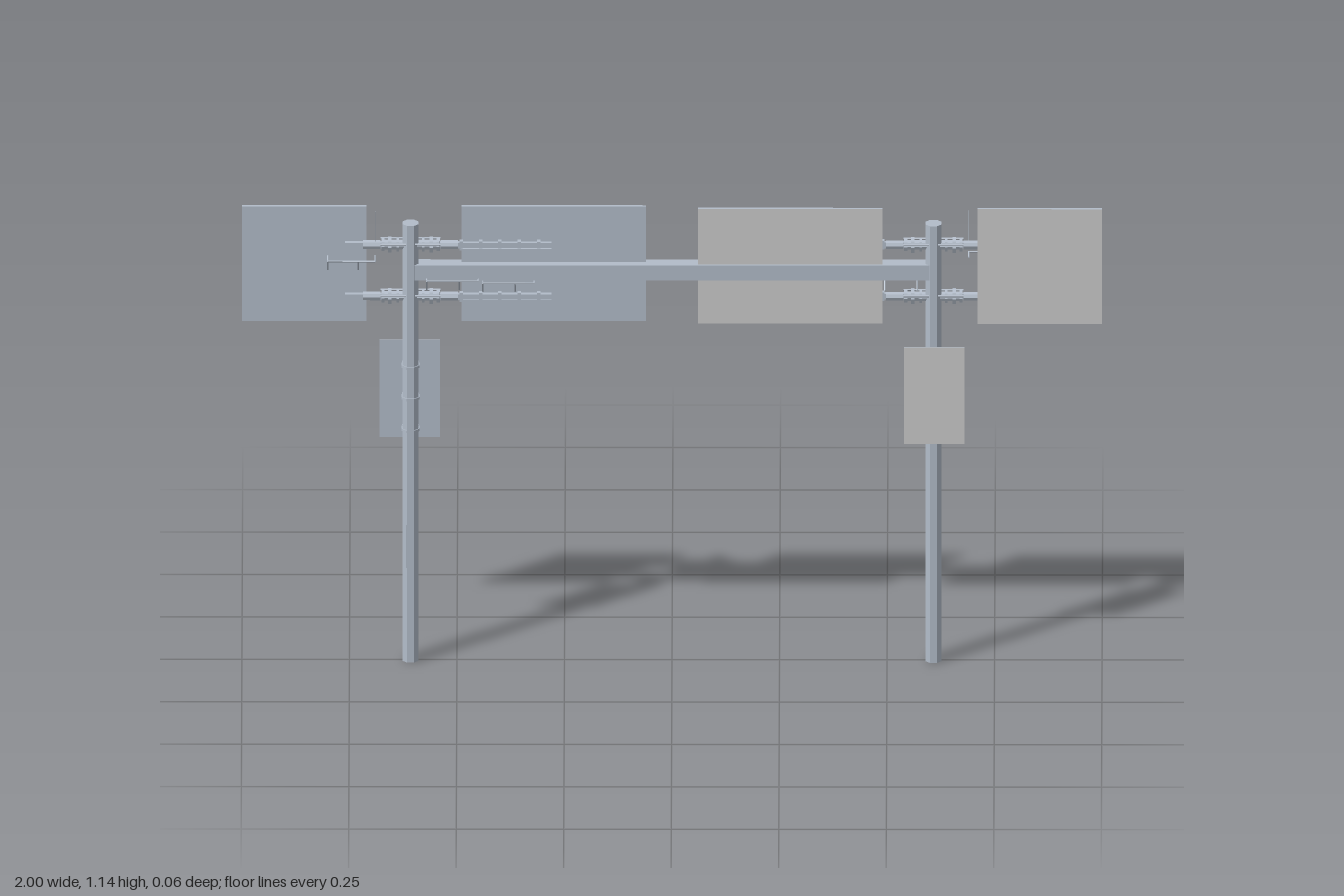
import * as THREE from 'three';

const steel = new THREE.MeshStandardMaterial({ color: 0xb2bcc9, flatShading: true });
steel.name = 'galvanised steel';
const face = new THREE.MeshStandardMaterial({ color: 0xcacaca });
face.name = 'sign face grey';

function add(parent, name, geometry, x, y, z, material = steel) {
  const mesh = new THREE.Mesh(geometry, material);
  mesh.name = name;
  mesh.position.set(x, y, z);
  parent.add(mesh);
  return mesh;
}

// Box given by its extents along each axis
function box(parent, name, [x0, x1], [y0, y1], [z0, z1], material = steel) {
  return add(parent, name, new THREE.BoxGeometry(x1 - x0, y1 - y0, z1 - z0),
    (x0 + x1) / 2, (y0 + y1) / 2, (z0 + z1) / 2, material);
}

// Thin round bar through a list of points
function rod(parent, name, points, r = 0.0015) {
  const up = new THREE.Vector3(0, 1, 0);
  const v = points.map(p => new THREE.Vector3(...p));
  for (let i = 0; i < v.length - 1; i++) {
    const d = v[i + 1].clone().sub(v[i]);
    const mid = v[i].clone().add(v[i + 1]).multiplyScalar(0.5);
    const bar = add(parent, name, new THREE.CylinderGeometry(r, r, d.length(), 6), mid.x, mid.y, mid.z);
    bar.quaternion.setFromUnitVectors(up, d.normalize());
  }
}

// Sheet with a grey front and a steel back and edge
function sign(parent, name, xs, ys, [z0, z1]) {
  const sheet = box(parent, name, xs, ys, [z0, z1]);
  sheet.material = [steel, steel, steel, steel, face, steel];
}

const POST_X = 0.608;

// One post with its signs, facing +z
function createHalf() {
  const half = new THREE.Group();

  // Octagonal post and access cover
  const postGeo = new THREE.CylinderGeometry(0.0205, 0.0205, 1.105, 8);
  postGeo.rotateY(Math.PI / 8);
  add(half, 'post', postGeo, POST_X, 0.5525, 0);
  box(half, 'accessCover', [0.613, 0.618], [0.24, 0.35], [-0.021, -0.016]);

  // Signs
  sign(half, 'innerSign', [0.06, 0.49], [0.855, 1.145], [0.003, 0.011]);
  sign(half, 'outerSign', [0.71, 1.0], [0.855, 1.145], [0.003, 0.011]);
  sign(half, 'lowerSign', [0.54, 0.68], [0.555, 0.8], [0.019, 0.022]);

  // Bands holding the lower sign
  for (const y of [0.585, 0.665, 0.745]) {
    const band = new THREE.CylinderGeometry(0.0228, 0.0228, 0.006, 8);
    band.rotateY(Math.PI / 8);
    add(half, 'signBand', band, POST_X, y, 0);
    box(half, 'bandBracket', [0.588, 0.628], [y - 0.003, y + 0.003], [0.012, 0.02]);
  }

  // Horizontal arms with flanged clamps either side of the post
  for (const y of [0.92, 1.05]) {
    const arm = new THREE.Group();
    arm.name = 'signArm';
    half.add(arm);
    box(arm, 'armRail', [0.28, 0.76], [y - 0.007, y + 0.007], [-0.007, 0.004]);
    box(arm, 'armLip', [0.28, 0.49], [y - 0.009, y - 0.006], [-0.011, 0.003]);
    for (let x = 0.31; x < 0.5; x += 0.045)
      box(arm, 'armBolt', [x - 0.004, x + 0.004], [y - 0.011, y + 0.011], [-0.009, 0.003]);
    for (const s of [-1, 1]) {
      for (const [d, r, w] of [[0.04, 0.012, 0.05], [0.03, 0.017, 0.006], [0.048, 0.02, 0.008],
        [0.064, 0.016, 0.008], [0.09, 0.011, 0.04]]) {
        const g = new THREE.CylinderGeometry(r, r, w, 8);
        g.rotateZ(Math.PI / 2);
        add(arm, 'clampFlange', g, POST_X + s * d, y, 0);
      }
      for (const z of [-0.019, 0.019])
        rod(arm, 'clampBolt', [[POST_X + s * 0.01, y + 0.008, z], [POST_X + s * 0.07, y + 0.008, z]], 0.0025);
    }
  }

  // Wire brackets behind the signs
  for (const [x0, x1, y] of [[0.69, 0.8, 1.02], [0.45, 0.57, 0.97], [0.32, 0.44, 0.965]]) {
    rod(half, 'wireBracket', [[x0, y, 0.004], [x0, y, -0.03], [x1, y, -0.03], [x1, y, 0.004]], 0.002);
    for (const x of [x1, (x0 + x1) / 2 - 0.015])
      rod(half, 'bracketStrut', [[x, y, -0.03], [x, y - 0.035, 0.004]], 0.002);
  }

  // Cable beside the outer sign
  rod(half, 'cable', [[0.69, 1.06, -0.004], [0.69, 1.135, -0.004]], 0.0012);
  return half;
}

export function createModel() {
  const model = new THREE.Group();
  model.name = 'signGantry';

  // Beam joining the posts
  box(model, 'crossBeam', [-POST_X, POST_X], [0.967, 1.005], [-0.018, 0.018]);

  // The second half is the first turned half a circle
  const leftHalf = createHalf();
  leftHalf.name = 'leftHalf';
  const rightHalf = createHalf();
  rightHalf.name = 'rightHalf';
  rightHalf.rotation.y = Math.PI;
  model.add(leftHalf, rightHalf);
  return model;
}
